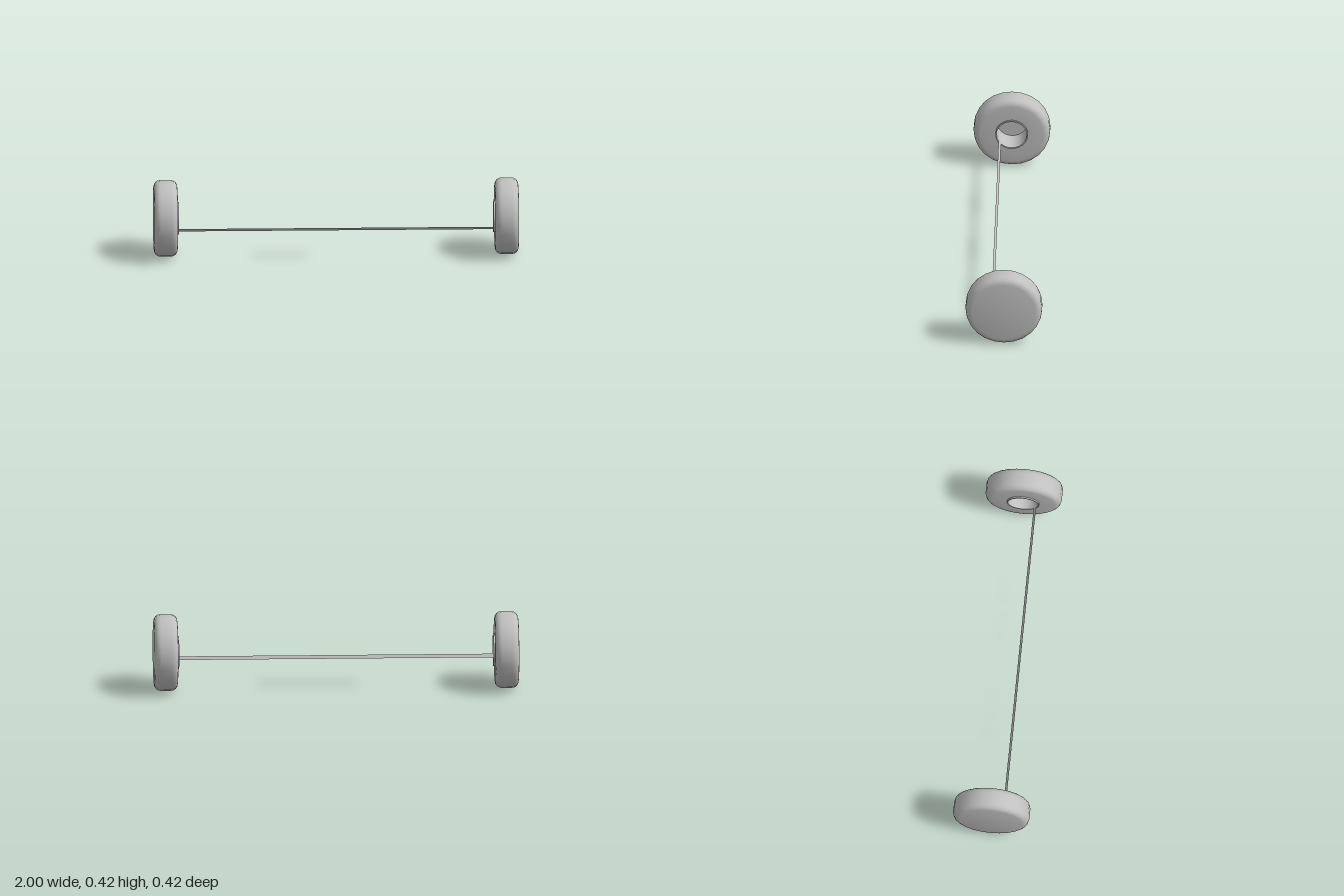
import * as THREE from 'three';
import { toCreasedNormals } from 'three/addons/utils/BufferGeometryUtils.js';

const SIDES = 24;
const WHEEL_R = 0.21;
const BORE_R = 0.083;

// Quarter-round corner of the tyre profile, from angle a0 to a0 + 90 degrees
function corner(cx, cy, r, a0, steps = 4) {
  return Array.from({ length: steps + 1 }, (_, i) => {
    const a = a0 + (i / steps) * Math.PI / 2;
    return new THREE.Vector2(cx + r * Math.cos(a), cy + r * Math.sin(a));
  });
}

// Rounded wheel with a raised hub lip and a deep blind bore on the inner side
function wheelGeometry() {
  const r = 0.036;
  const v = (x, y) => new THREE.Vector2(x, y);
  const profile = [
    v(0, 0.99), v(BORE_R, 0.99), v(BORE_R, 0.862), // bore
    v(0.09, 0.862), v(0.09, 0.87),                 // hub lip
    ...corner(WHEEL_R - r, 0.87 + r, r, -Math.PI / 2),
    ...corner(WHEEL_R - r, 1 - r, r, 0),
    v(0, 1),                                       // flat outer face
  ];
  return toCreasedNormals(new THREE.LatheGeometry(profile, SIDES), 0.6);
}

export function createModel() {
  const model = new THREE.Group();
  model.name = 'wheelPair';
  const grey = new THREE.MeshStandardMaterial({ color: 0xc0c0c0, side: THREE.DoubleSide });
  grey.name = 'lightGrey';

  // Mirrored wheels, axis along x
  const geometry = wheelGeometry();
  for (const side of [1, -1]) {
    const wheel = new THREE.Mesh(geometry, grey);
    wheel.name = side > 0 ? 'leftWheel' : 'rightWheel';
    wheel.rotation.z = -side * Math.PI / 2;
    wheel.position.y = WHEEL_R;
    model.add(wheel);
  }

  // Thin flat strip joining the bores, lying along one facet of the bore wall
  const angle = THREE.MathUtils.degToRad(37.5);
  const apothem = BORE_R * Math.cos(Math.PI / SIDES);
  const width = 2 * BORE_R * Math.sin(Math.PI / SIDES);
  const strip = new THREE.Mesh(new THREE.PlaneGeometry(1.724, width), grey);
  strip.name = 'axleStrip';
  strip.position.set(0, WHEEL_R - apothem * Math.sin(angle), apothem * Math.cos(angle));
  strip.rotation.x = angle + Math.PI; // faces back and up, towards the axis
  model.add(strip);

  return model;
}
